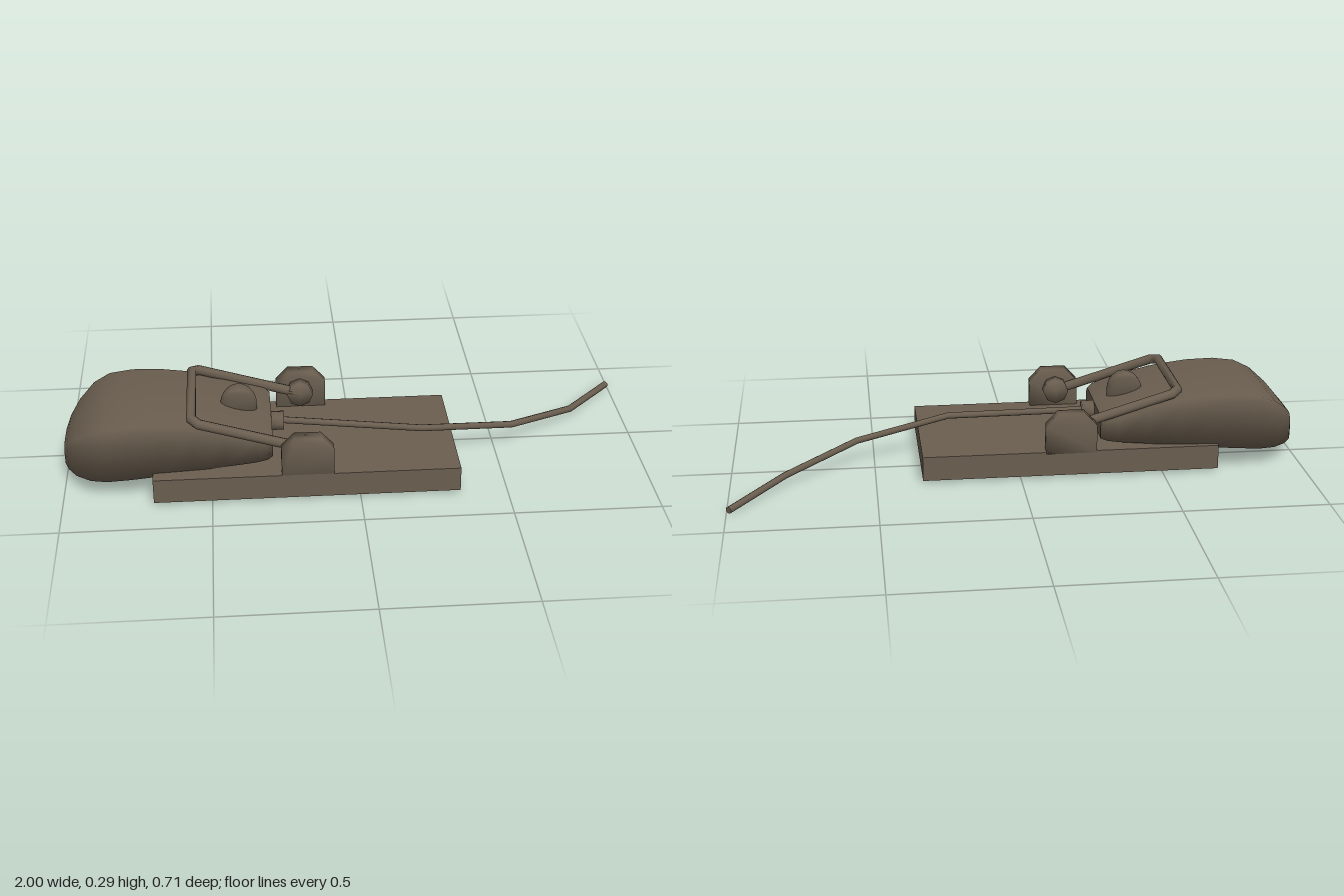
import * as THREE from 'three';
import { mergeVertices } from 'three/addons/utils/BufferGeometryUtils.js';

const mat = new THREE.MeshStandardMaterial({ color: 0x6a5e4f });
mat.name = 'umber';

// straight-segmented path whose joints are mitred
class PolyPath extends THREE.Curve {
  constructor(points) {
    super();
    this.pts = points.map(p => new THREE.Vector3(...p));
  }
  getPoint(u) {
    return this.pts[Math.round(u * (this.pts.length - 1))].clone();
  }
  getPointAt(u) { return this.getPoint(u); }
  getTangentAt(u) {
    const p = this.pts, n = p.length - 1, i = Math.round(u * n);
    const t = new THREE.Vector3();
    if (i > 0) t.add(p[i].clone().sub(p[i - 1]).normalize());
    if (i < n) t.add(p[i + 1].clone().sub(p[i]).normalize());
    return t.normalize();
  }
}

function add(group, name, geometry, x = 0, y = 0, z = 0) {
  const m = new THREE.Mesh(geometry, mat);
  m.name = name;
  m.position.set(x, y, z);
  group.add(m);
  return m;
}

function rod(points, radius) {
  return new THREE.TubeGeometry(new PolyPath(points), points.length - 1, radius, 8, false);
}

// shares normals across all edges for a soft look
function soften(geometry) {
  geometry.deleteAttribute('normal');
  geometry.deleteAttribute('uv');
  const g = mergeVertices(geometry, 1e-5);
  g.computeVertexNormals();
  return g;
}

// skin over stations [x, halfWidth, bottom, top] with softly bevelled top edges
function loft(stations, bevel) {
  const pos = [], idx = [], n = 8, last = stations.length - 1;
  for (const [x, w, b, t] of stations) {
    const c = Math.min(bevel, w * 0.4, (t - b) * 0.4);
    const ring = [[-w, b], [-w, t - c], [-w + c, t], [0, t + c * 0.1], [w - c, t], [w, t - c], [w, b], [0, b]];
    for (const [z, y] of ring) pos.push(x, y, z);
  }
  for (let s = 0; s < last; s++) {
    for (let k = 0; k < n; k++) {
      const a = s * n + k, b = s * n + (k + 1) % n, c = a + n, d = b + n;
      idx.push(a, b, c, b, d, c);
    }
  }
  // separate vertices keep the end caps crisp
  for (const s of [0, last]) {
    const base = pos.length / 3;
    for (let k = 0; k < n * 3; k++) pos.push(pos[s * n * 3 + k]);
    for (let k = 1; k < n - 1; k++) {
      if (s === 0) idx.push(base, base + k + 1, base + k);
      else idx.push(base, base + k, base + k + 1);
    }
  }
  const g = new THREE.BufferGeometry();
  g.setAttribute('position', new THREE.Float32BufferAttribute(pos, 3));
  g.setIndex(idx);
  g.computeVertexNormals();
  return g;
}

export function createModel() {
  const group = new THREE.Group();
  group.name = 'mouseTrap';
  const midZ = 0.095;

  // wooden base
  add(group, 'base', new THREE.BoxGeometry(1.035, 0.086, 0.52), -0.178, 0.054, midZ);

  // side brackets and the pivots inside them
  const plate = new THREE.Shape();
  [[-0.088, 0.09], [0.088, 0.09], [0.088, 0.19], [0.045, 0.236], [-0.045, 0.236], [-0.088, 0.19]]
    .forEach(([x, y], i) => (i ? plate.lineTo(x, y) : plate.moveTo(x, y)));
  for (const side of [-1, 1]) {
    const bracket = new THREE.ExtrudeGeometry(plate, { depth: 0.042, bevelEnabled: false });
    add(group, 'bracket', soften(bracket), -0.177, 0, midZ + side * 0.239 - 0.021);
    const pivot = new THREE.CylinderGeometry(0.046, 0.046, 0.038, 8).rotateX(Math.PI / 2);
    add(group, 'pivot', soften(pivot), -0.181, 0.163, midZ + side * 0.198);
  }

  // snapping bar
  add(group, 'snapBar', rod([
    [-0.18, 0.163, 0.292], [-0.535, 0.27, 0.292], [-0.56, 0.278, 0.267],
    [-0.56, 0.278, -0.075], [-0.535, 0.27, -0.1], [-0.18, 0.163, -0.1],
  ], 0.018));

  // pointing device body: flat across, curved in profile and in plan
  add(group, 'mouseBody', loft([
    [-1.0, 0.07, 0.06, 0.125], [-0.985, 0.115, 0.061, 0.155], [-0.955, 0.165, 0.063, 0.19],
    [-0.905, 0.208, 0.067, 0.232], [-0.85, 0.227, 0.071, 0.256], [-0.77, 0.23, 0.077, 0.266],
    [-0.67, 0.226, 0.084, 0.265], [-0.56, 0.217, 0.092, 0.255], [-0.45, 0.207, 0.1, 0.236],
    [-0.35, 0.198, 0.106, 0.21], [-0.31, 0.188, 0.109, 0.198], [-0.29, 0.165, 0.11, 0.19],
  ], 0.018), 0, 0, 0.08);

  // scroll wheel: oval in plan, domed in profile
  const wheel = [];
  for (let i = 0; i <= 10; i++) {
    const a = Math.PI * (1 - i / 10), s = Math.max(Math.sin(a), 0.08);
    wheel.push([0.062 * Math.cos(a), 0.034 * s, -0.03, 0.06 * s]);
  }
  add(group, 'scrollWheel', loft(wheel, 0.008), -0.4, 0.235, 0.084);

  // cable with its collar
  const collar = new THREE.CylinderGeometry(0.034, 0.034, 0.055, 8).rotateZ(Math.PI / 2);
  add(group, 'cableCollar', soften(collar), -0.274, 0.158, 0.085);
  const end = [0.992, 0.014, -0.35];
  add(group, 'cable', rod([
    [-0.27, 0.16, 0.082], [0.23, 0.135, 0.138], [0.56, 0.086, 0.052], [0.81, 0.039, -0.128], end,
  ], 0.012));
  const tip = add(group, 'cableTip', new THREE.CircleGeometry(0.012, 8), ...end);
  tip.lookAt(end[0] + 0.182, end[1] - 0.025, end[2] - 0.222);

  return group;
}
